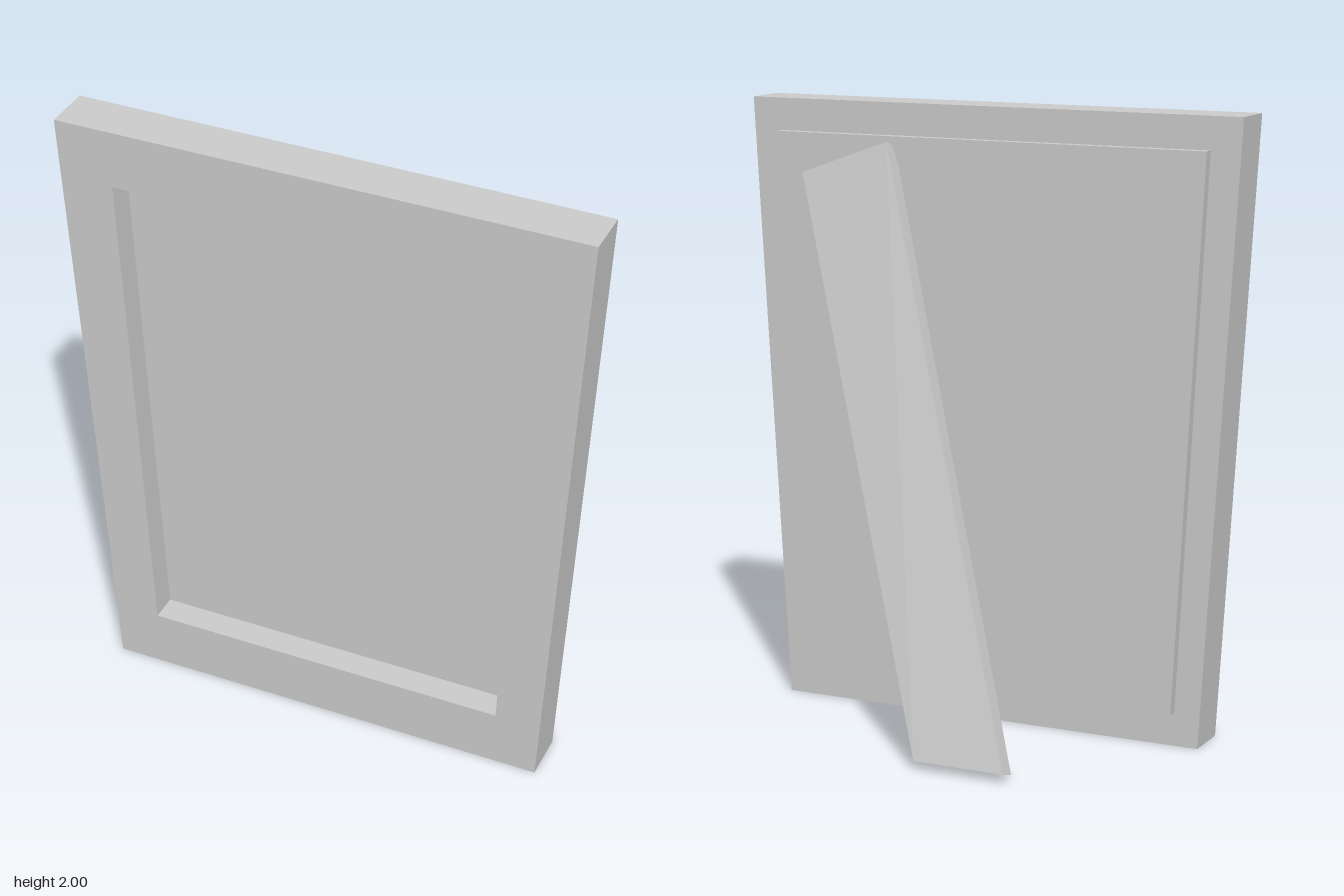
import * as THREE from 'three';

const material = new THREE.MeshStandardMaterial({ color: 0xcccccc, flatShading: true });

// Corners of an upright trapezoid, counter-clockwise
const trapezoid = (bottomHalf, topHalf, y0, y1) => [
  new THREE.Vector2(-bottomHalf, y0),
  new THREE.Vector2(bottomHalf, y0),
  new THREE.Vector2(topHalf, y1),
  new THREE.Vector2(-topHalf, y1),
];

// Extrude an outline between two depths, with an optional opening
function slab(name, outline, z0, z1, opening) {
  const shape = new THREE.Shape(outline);
  if (opening) shape.holes.push(new THREE.Path(opening));
  const geometry = new THREE.ExtrudeGeometry(shape, { depth: z1 - z0, bevelEnabled: false });
  geometry.translate(0, 0, z0);
  const mesh = new THREE.Mesh(geometry, material);
  mesh.name = name;
  return mesh;
}

// Leaning support: a box whose ends are moved to the hinge and the foot
function makeStrut() {
  const geometry = new THREE.BoxGeometry(1, 1, 1);
  const p = geometry.attributes.position;
  for (let i = 0; i < p.count; i++) {
    const u = p.getX(i);
    const end = p.getY(i) > 0
      ? new THREE.Vector3(0.482 + 0.305 * u, 1.825 - 0.11 * u, 0.147) // slanted top end
      : new THREE.Vector3(-0.177 + 0.305 * u, 0.03, -0.37); // level foot
    if (p.getZ(i) > 0) end.add(new THREE.Vector3(-0.005, -0.015, 0.05)); // thickness
    p.setXYZ(i, end.x, end.y, end.z);
  }
  geometry.computeVertexNormals();
  const mesh = new THREE.Mesh(geometry, material);
  mesh.name = 'backStrut';
  return mesh;
}

export function createModel() {
  const group = new THREE.Group();
  group.name = 'pictureFrame';
  group.add(
    // Tapered border with a picture opening
    slab('frame', trapezoid(0.735, 0.85, 0, 2), 0.213, 0.37, trapezoid(0.597, 0.667, 0.19, 1.815)),
    // Backing board, closing the opening and standing proud at the rear
    slab('backPanel', trapezoid(0.655, 0.745, 0.11, 1.895), 0.18, 0.28),
    makeStrut(),
  );
  return group;
}
